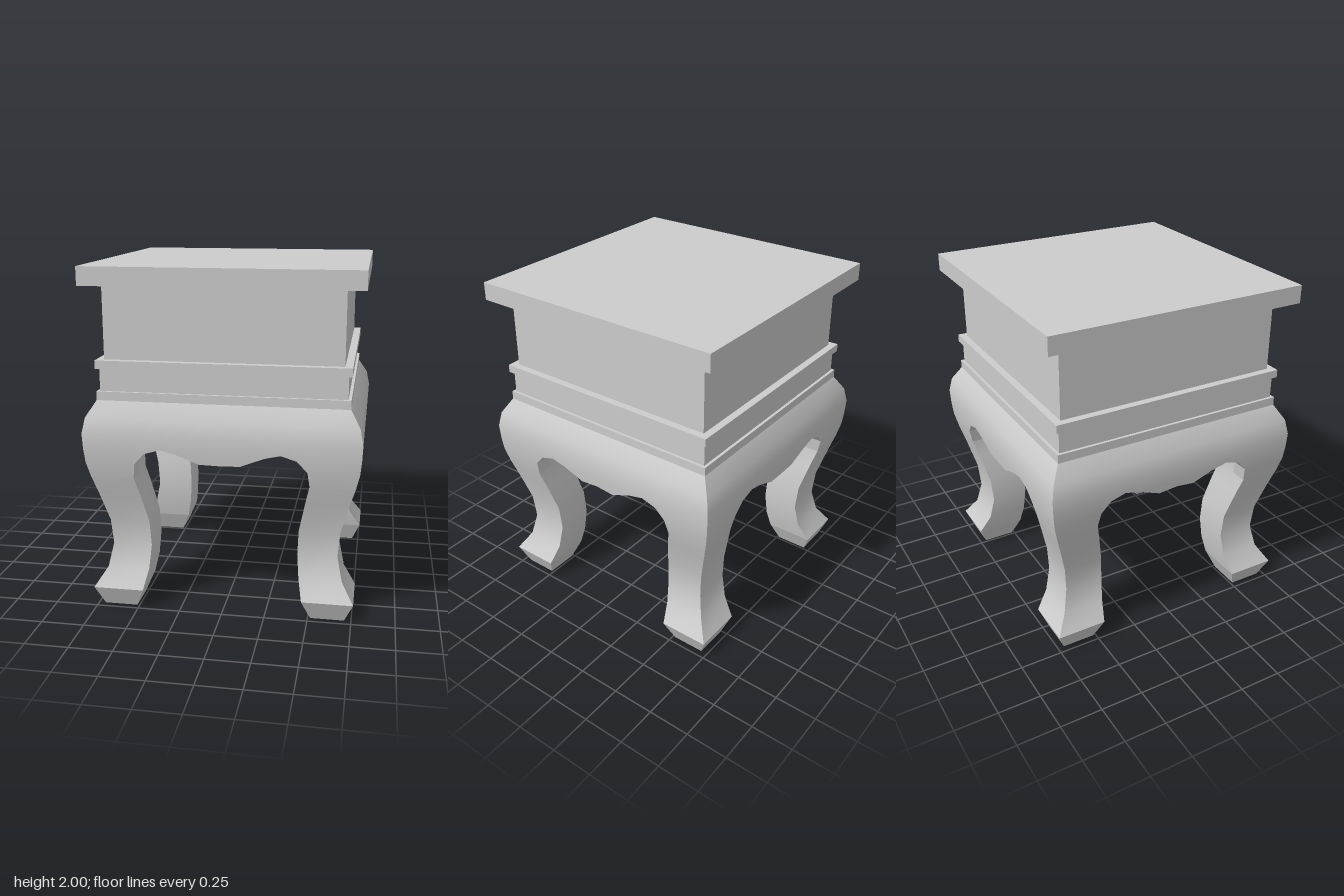
import * as THREE from 'three';
import { toCreasedNormals } from 'three/addons/utils/BufferGeometryUtils.js';

const stone = new THREE.MeshStandardMaterial({ color: 0xcccccc });
stone.name = 'plain grey';

// Half-width of the outside at each height: [y, half-width]
const OUTER = [
  [0, 0.71], [0.12, 0.76], [0.23, 0.69], [0.37, 0.66], [0.52, 0.672], [0.7, 0.72],
  [0.81, 0.752], [0.9, 0.773], [0.98, 0.781], [1.07, 0.785], [1.16, 0.767], [1.25, 0.712], [1.3, 0.712],
];
// Inner edge of the legs: [y, distance from centre]
const INNER = [
  [0, 0.515], [0.12, 0.465], [0.23, 0.442], [0.37, 0.43], [0.52, 0.437], [0.67, 0.467],
  [0.81, 0.5], [1.3, 0.5],
];
// Scalloped lower edge of the apron, from the leg to the middle: [x, y]
const ARCH = [
  [0.5, 0.81], [0.488, 0.9], [0.43, 0.965], [0.34, 0.993], [0.25, 0.972], [0.115, 0.918],
];
const APRON_THICKNESS = 0.1;

function lookup(table, y) {
  for (let k = 1; k < table.length; k++) {
    const [y0, v0] = table[k - 1], [y1, v1] = table[k];
    if (y <= y1) return v0 + ((v1 - v0) * (y - y0)) / (y1 - y0);
  }
  return table[table.length - 1][1];
}

// Skin over columns of points, with sharp corners kept
function skin(columns) {
  const n = columns[0].length;
  const index = [];
  for (let i = 0; i < columns.length - 1; i++) {
    for (let j = 0; j < n - 1; j++) {
      const a = i * n + j, b = a + n;
      index.push(a, b, b + 1, a, b + 1, a + 1);
    }
  }
  const g = new THREE.BufferGeometry();
  g.setAttribute('position', new THREE.Float32BufferAttribute(columns.flat(2), 3));
  g.setIndex(index);
  return toCreasedNormals(g, 0.5);
}

// Square corner post through the given heights, closed at both ends
function post(heights) {
  const corners = [[0, 1], [1, 1], [1, 0], [0, 0], [0, 1]];
  const ends = [heights[0], heights[heights.length - 1]];
  const middle = (y) => {
    const m = (lookup(INNER, y) + lookup(OUTER, y)) / 2;
    return [m, y, m];
  };
  return skin(corners.map(([cx, cz]) => [
    middle(ends[0]),
    ...heights.map((y) => {
      const o = lookup(OUTER, y) - (y > 0.81 ? 0.002 : 0);
      const i = lookup(INNER, y);
      return [cx ? o : i, y, cz ? o : i];
    }),
    middle(ends[1]),
  ]));
}

// Bulging apron panel facing +z, mitred at the corners
function apron(middleY) {
  const heights = OUTER.map(([y]) => y).filter((y) => y >= 0.81);
  const half = [[null, 0.81], ...ARCH];
  const mirrored = [...half].reverse();
  const lower = [
    ...half.map(([x, y]) => [x, y, -1]), [0, middleY, 1],
    ...mirrored.map(([x, y]) => [x, y, 1]),
  ];
  return skin(lower.map(([x, bottom, side]) => {
    const at = (y, inset) => {
      const w = lookup(OUTER, y) - inset;
      return [side * (x === null ? w : x), y, w];
    };
    const ys = heights.map((y) => Math.max(y, bottom));
    const loop = [
      ...ys.map((y) => at(y, 0)),
      ...[...ys].reverse().map((y) => at(y, APRON_THICKNESS)),
    ];
    return [...loop, loop[0]];
  }));
}

export function createModel() {
  const model = new THREE.Group();
  model.name = 'pedestalTable';
  const add = (name, geometry, turn = 0) => {
    const mesh = new THREE.Mesh(geometry, stone);
    mesh.name = name;
    mesh.rotation.y = turn;
    model.add(mesh);
    return mesh;
  };

  // Curved legs, feet and aprons, one of each per quarter turn
  const footShape = post([0, 0.12]);
  const legShape = post(OUTER.map(([y]) => y).filter((y) => y >= 0.12 && y < 1));
  const frontApron = apron(0.915), sideApron = apron(0.93);
  for (let k = 0; k < 4; k++) {
    const turn = (k * Math.PI) / 2;
    add('foot', footShape, turn);
    add('leg', legShape, turn);
    add(k % 2 ? 'sideApron' : 'frontApron', k % 2 ? sideApron : frontApron, turn);
  }

  // Stacked square slabs: name, bottom, top, half-width
  const slabs = [
    ['underPanel', 1.26, 1.299, 0.7],
    ['lowerWaist', 1.299, 1.43, 0.695],
    ['trimLedge', 1.43, 1.477, 0.715],
    ['boxBody', 1.477, 1.895, 0.672],
    ['tableTop', 1.895, 2, 0.777],
  ];
  for (const [name, y0, y1, w] of slabs) {
    add(name, new THREE.BoxGeometry(2 * w, y1 - y0, 2 * w)).position.y = (y0 + y1) / 2;
  }
  return model;
}
